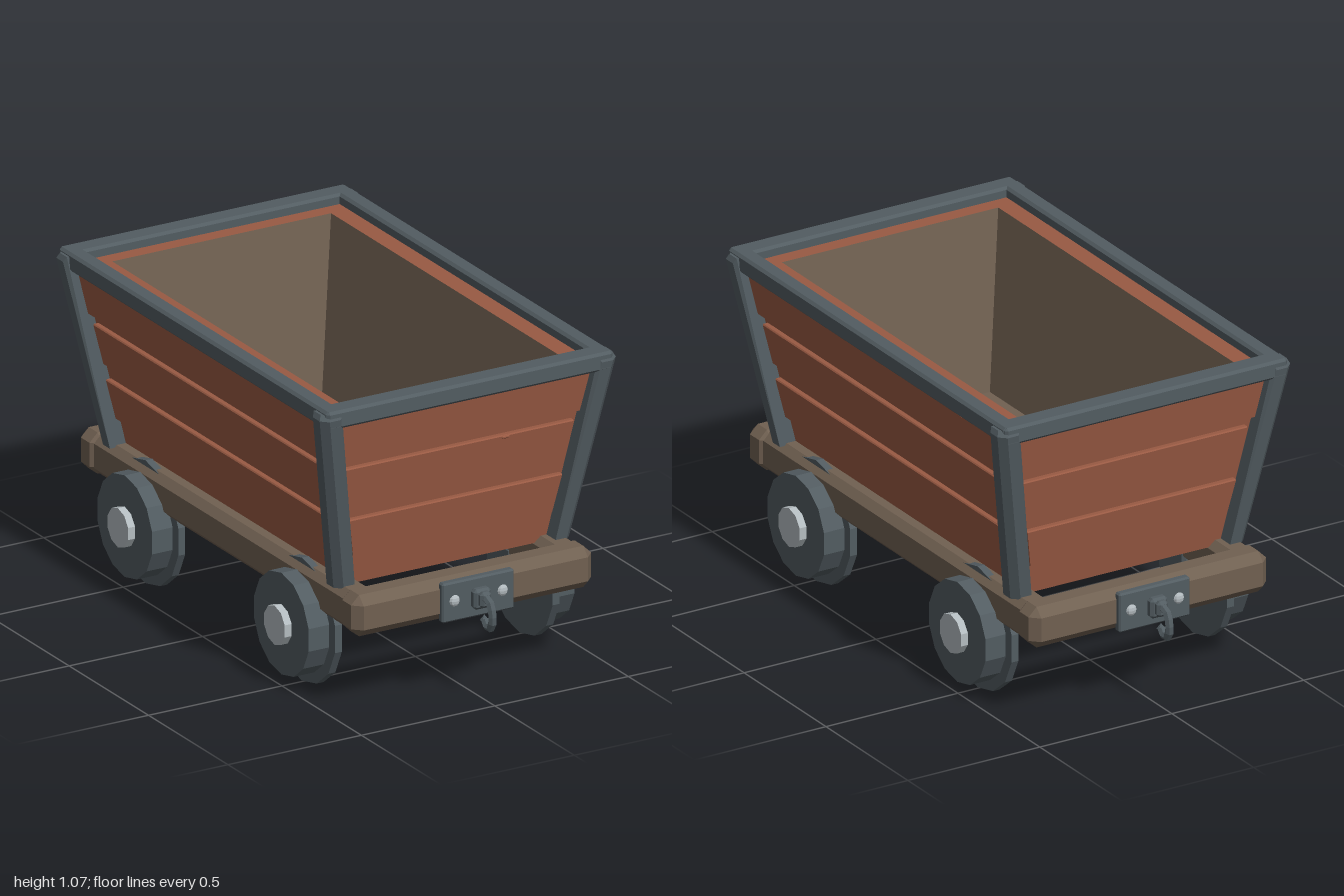
import * as THREE from 'three';
import { ConvexGeometry } from 'three/addons/geometries/ConvexGeometry.js';

const flat = (name, color) => {
  const m = new THREE.MeshStandardMaterial({ color, flatShading: true });
  m.name = name;
  return m;
};

// Box with chamfered edges and corners
function chamferBox(w, h, d, c) {
  const pts = [];
  for (const x of [-1, 1]) for (const y of [-1, 1]) for (const z of [-1, 1]) {
    const [a, b, e] = [x * w / 2, y * h / 2, z * d / 2];
    pts.push(new THREE.Vector3(a, b - y * c, e - z * c),
      new THREE.Vector3(a - x * c, b, e - z * c),
      new THREE.Vector3(a - x * c, b - y * c, e));
  }
  return new ConvexGeometry(pts);
}

// Surface through rectangular rings, each [y, halfX, halfZ]
function ringSurface(rings) {
  const signs = [[1, 1], [1, -1], [-1, -1], [-1, 1]];
  const pos = [];
  const corner = (r, k) => [r[1] * signs[k % 4][0], r[0], r[2] * signs[k % 4][1]];
  for (let i = 0; i < rings.length - 1; i++) for (let k = 0; k < 4; k++) {
    const a = corner(rings[i], k), b = corner(rings[i], k + 1);
    const c = corner(rings[i + 1], k + 1), d = corner(rings[i + 1], k);
    pos.push(...a, ...b, ...c, ...a, ...c, ...d);
  }
  const g = new THREE.BufferGeometry();
  g.setAttribute('position', new THREE.Float32BufferAttribute(pos, 3));
  g.computeVertexNormals();
  return g;
}

// Half width and half length of the sloping walls at height y
const halfX = y => 0.38 + 0.185 * (y - 0.41);
const halfZ = y => 0.692 + 0.165 * (y - 0.41);

// Leaning post with its outer corner cut off, for the corner with signs s, t
function postGeometry(s, t) {
  const section = [[-0.066, -0.067], [0, -0.067], [0, -0.024], [-0.024, 0], [-0.066, 0]];
  const pts = [];
  for (const [y, inset] of [[0.405, 0], [1.04, 0], [1.058, 0.012]]) {
    for (const [dx, dz] of section) {
      const x = 0.442 + 0.179 * (y - 0.41) - inset + dx;
      const z = 0.75 + 0.164 * (y - 0.41) - inset + dz;
      pts.push(new THREE.Vector3(s * x, y, t * z));
    }
  }
  return new ConvexGeometry(pts);
}

export function createModel() {
  const metal = flat('dark metal', 0x525c61);
  const red = flat('red wood', 0x995a43);
  const brown = flat('brown wood', 0x706051);
  const steel = flat('light steel', 0xb4bcc0);
  const model = new THREE.Group();
  model.name = 'mineCart';
  const add = (name, geo, mat, x = 0, y = 0, z = 0, parent = model) => {
    const m = new THREE.Mesh(geo, mat);
    m.name = name;
    m.position.set(x, y, z);
    parent.add(m);
    return m;
  };

  // Bin: red shell with a brown lining
  add('binShell', ringSurface([[0.39, 0.001, 0.001], [0.39, halfX(0.39), halfZ(0.39)],
    [1.035, halfX(1.035), halfZ(1.035)], [1.035, 0.41, 0.72]]), red);
  add('binLining', ringSurface([[1.035, 0.41, 0.72], [0.45, 0.31, 0.61], [0.45, 0.001, 0.001]]), brown);

  // Raised planks on the four walls, with a slanted lower edge
  const rows = [[0.85, 1.0, 0.022], [0.684, 0.83, 0.03], [0.494, 0.637, 0.026]];
  const jitter = [0.005, -0.004, 0.002, -0.006];
  rows.forEach(([y0, y1, trim], i) => {
    const section = [[y1, -0.01], [y1, 0.016], [y1 - 0.004, 0.02], [y0 + 0.01, 0.02], [y0, 0], [y0, -0.01]];
    for (const side of [0, 1, 2, 3]) {
      const alongX = side % 2 === 0;
      const len = alongX ? halfX : halfZ, out = alongX ? halfZ : halfX;
      const pts = [];
      for (const [y, o] of section) for (const s of [-1, 1]) {
        const cut = trim + jitter[(i + side + (s > 0 ? 1 : 0)) % 4];
        pts.push(new THREE.Vector3(s * (len(y) - cut), y, out(y) + o));
      }
      add('plank', new ConvexGeometry(pts), red).rotation.y = side * Math.PI / 2;
    }
  });

  // Splinters on the planks and loose chips on the floor
  add('plankSplinter', chamferBox(0.03, 0.01, 0.014, 0.003), red, 0.17, 0.823, 0.778);
  add('plankSplinter', chamferBox(0.014, 0.014, 0.035, 0.004), red, 0.505, 0.992, -0.52);
  add('woodChip', new THREE.TetrahedronGeometry(0.05), brown, 0.14, 0.46, -0.2);
  add('metalChip', new THREE.TetrahedronGeometry(0.045), metal, -0.11, 0.455, 0.15).scale.set(1.9, 0.5, 0.9);

  // Metal rim and leaning corner posts
  for (const s of [-1, 1]) {
    add('rimSide', chamferBox(0.062, 0.064, 1.69, 0.009), metal, s * 0.506, 1.038, 0);
    add('rimEnd', chamferBox(1.07, 0.064, 0.075, 0.009), metal, 0, 1.038, s * 0.812);
    for (const t of [-1, 1]) add('cornerPost', postGeometry(s, t), metal);
  }

  // Timber underframe
  for (const s of [-1, 1]) {
    add('sideBeam', chamferBox(0.11, 0.135, 1.64, 0.025), brown, s * 0.385, 0.345, 0);
    add('endBeam', chamferBox(0.9, 0.143, 0.115, 0.03), brown, 0, 0.347, s * 0.823);
  }

  // Wheels, axles and bearing blocks
  const wheelY = 0.213;
  for (const z of [-0.493, 0.493]) {
    add('axle', new THREE.CylinderGeometry(0.038, 0.038, 0.8, 8), metal, 0, wheelY, z).rotation.z = Math.PI / 2;
    for (const s of [-1, 1]) {
      add('bearingBlock', chamferBox(0.062, 0.13, 0.1, 0.01), metal, s * 0.358, 0.255, z);
      const wheel = new THREE.Group();
      wheel.name = 'wheel';
      wheel.position.set(0, wheelY, z);
      model.add(wheel);
      const disc = (name, r, x0, x1, sides, mat) => {
        add(name, new THREE.CylinderGeometry(r, r, x1 - x0, sides, 1, false, Math.PI / 2), mat,
          s * (x0 + x1) / 2, 0, 0, wheel).rotation.z = Math.PI / 2;
      };
      disc('wheelFlange', 0.213, 0.395, 0.421, 14, metal);
      disc('wheelTread', 0.176, 0.42, 0.498, 14, metal);
      disc('innerBoss', 0.066, 0.388, 0.396, 10, metal);
      disc('wheelHub', 0.068, 0.497, 0.524, 10, steel);
    }
  }

  // Coupling with hook at each end
  const hookPath = new THREE.CatmullRomCurve3([[0.348, 0.93], [0.352, 0.963], [0.328, 0.98],
    [0.29, 0.986], [0.262, 0.975], [0.26, 0.952], [0.278, 0.938]].map(([y, z]) => new THREE.Vector3(0, y, z)));
  for (const turn of [0, Math.PI]) {
    const coupling = new THREE.Group();
    coupling.name = 'coupling';
    coupling.rotation.y = turn;
    model.add(coupling);
    add('couplingPlate', chamferBox(0.27, 0.137, 0.03, 0.006), metal, 0, 0.344, 0.883, coupling);
    add('couplingBlock', chamferBox(0.065, 0.07, 0.035, 0.01), metal, 0, 0.345, 0.912, coupling);
    add('hookCollar', chamferBox(0.042, 0.055, 0.03, 0.01), metal, 0, 0.348, 0.937, coupling);
    add('hook', new THREE.TubeGeometry(hookPath, 8, 0.015, 6), metal, 0, 0, 0, coupling);
    add('hookTip', new THREE.ConeGeometry(0.015, 0.02, 6), metal, 0, 0.285, 0.934, coupling);
    for (const s of [-1, 1]) {
      add('plateBolt', new THREE.SphereGeometry(0.02, 8, 6), steel, s * 0.09, 0.348, 0.897, coupling).scale.z = 0.6;
    }
  }
  return model;
}
